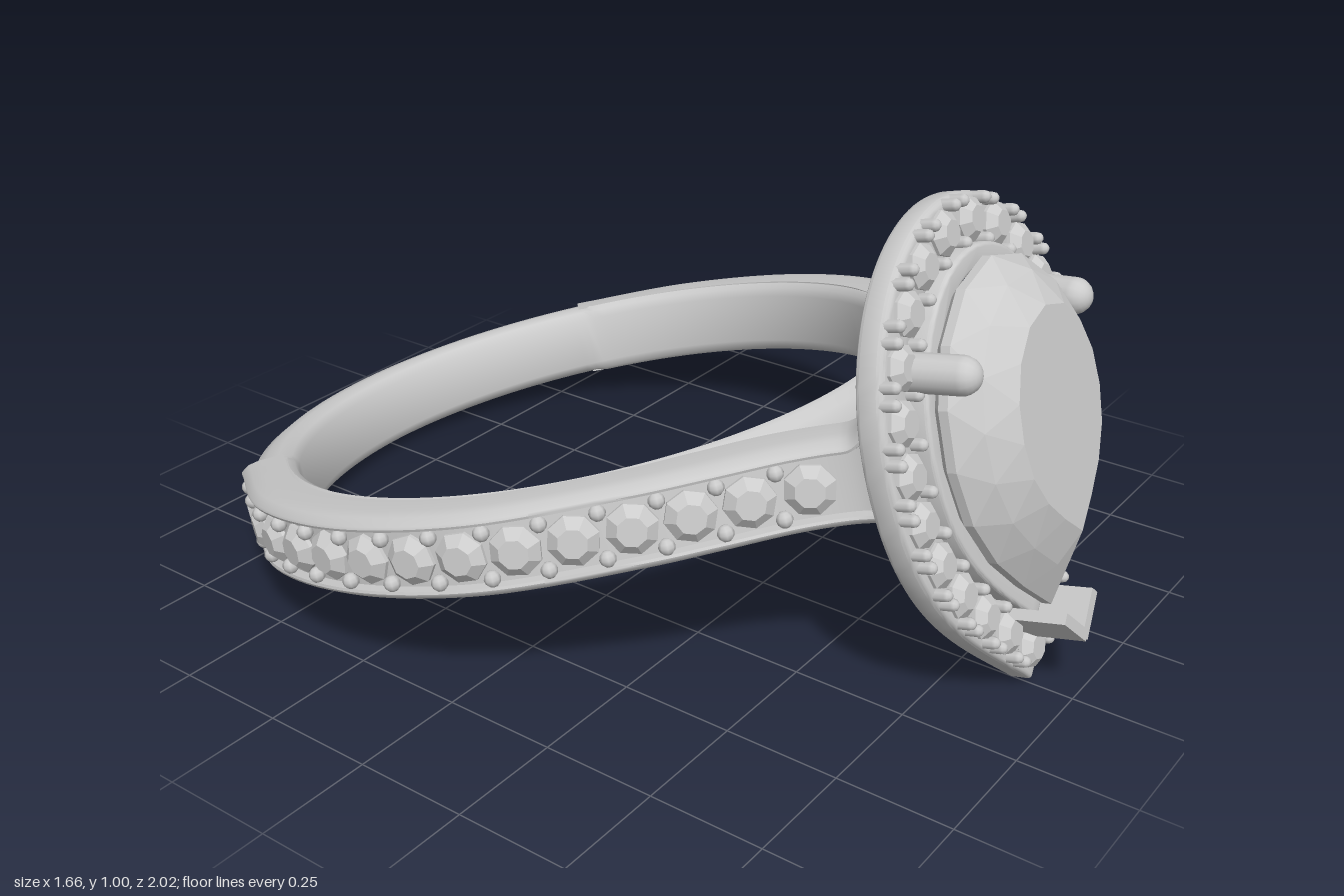
import * as THREE from 'three';
import { toCreasedNormals } from 'three/addons/utils/BufferGeometryUtils.js';
import { ConvexGeometry } from 'three/addons/geometries/ConvexGeometry.js';

const metal = new THREE.MeshStandardMaterial({ color: 0xcccccc });
const facet = new THREE.MeshStandardMaterial({ color: 0xcccccc, flatShading: true });
const V3 = (x, y, z) => new THREE.Vector3(x, y, z);
const UP = V3(0, 1, 0), FRONT = V3(0, 0, 1);
const rad = THREE.MathUtils.degToRad;

// Adds a mesh whose own y axis points along dir
function add(parent, name, geo, mat, pos = V3(0, 0, 0), dir = UP) {
  const mesh = new THREE.Mesh(geo, mat);
  mesh.name = name;
  mesh.position.copy(pos);
  mesh.quaternion.setFromUnitVectors(UP, dir);
  parent.add(mesh);
  return mesh;
}

// Skins a row of cross-sections; either closed on itself or capped at both ends
function loft(sections, closed) {
  const n = sections[0].length, m = sections.length, pts = sections.flat(), idx = [];
  for (let i = 0; i < (closed ? m : m - 1); i++) for (let j = 0; j < n; j++) {
    const k = (j + 1) % n, a = i * n, b = ((i + 1) % m) * n;
    idx.push(a + j, b + j, a + k, a + k, b + j, b + k);
  }
  if (!closed) [0, m - 1].forEach((s, e) => {
    const c = pts.length;
    pts.push(sections[s].reduce((t, p) => t.add(p), V3(0, 0, 0)).divideScalar(n));
    for (let j = 0; j < n; j++) {
      const p = s * n + j, q = s * n + (j + 1) % n;
      idx.push(c, ...(e ? [q, p] : [p, q]));
    }
  });
  // turn the faces outward if the enclosed volume comes out negative
  let vol = 0;
  const cross = V3(0, 0, 0);
  for (let i = 0; i < idx.length; i += 3)
    vol += pts[idx[i]].dot(cross.crossVectors(pts[idx[i + 1]], pts[idx[i + 2]]));
  if (vol < 0) idx.reverse();
  const geo = new THREE.BufferGeometry().setFromPoints(pts);
  geo.setIndex(idx);
  return toCreasedNormals(geo, 0.7);
}

// Pear outline: w half width, t height of the round top, b length of the pointed end
function pear(w, t, b, Type = THREE.Shape) {
  const s = new Type();
  s.moveTo(0, -b);
  s.bezierCurveTo(0.54 * w, -0.71 * b, w, -0.5 * b, w, 0);
  s.absellipse(0, 0, w, t, 0, Math.PI, false);
  s.bezierCurveTo(-w, -0.5 * b, -0.54 * w, -0.71 * b, 0, -b);
  return s;
}
const inset = (d, Type) => pear(0.37 - d, 0.42 - d, 0.601 - 1.4 * d, Type);

// Flat pear-shaped ring with softened edges, from z0 to z1
function pearRing(outer, inner, z0, z1, bevel) {
  const shape = inset(outer + bevel);
  shape.holes.push(inset(inner - bevel, THREE.Path));
  const geo = new THREE.ExtrudeGeometry(shape, {
    depth: z1 - z0 - 2 * bevel, bevelSize: bevel, bevelThickness: bevel, bevelSegments: 3, curveSegments: 28
  });
  geo.translate(0, 0, z0 + bevel);
  return toCreasedNormals(geo, 0.7);
}

// Small round stone: crown over a shallow pavilion
function smallStone(r) {
  return new THREE.LatheGeometry([[0, -0.6], [1, -0.1], [1, 0.05], [0.58, 0.42], [0, 0.42]]
    .map(([x, y]) => new THREE.Vector2(x * r, y * r)), 8);
}

function buildBand() {
  const band = new THREE.Group();
  band.name = 'band';

  // Domed hoop, thinner along the stone-set sides and the front bridge
  const half = [[0.69, 0.06], [0.702, 0.08], [0.73, 0.09], [0.76, 0.086], [0.79, 0.07], [0.81, 0.042]];
  const profile = [...half, [0.82, 0], ...half.slice().reverse().map(([r, y]) => [r, -y])];
  const hoop = [];
  for (let i = 0; i < 180; i++) {
    const a = rad(i * 2), k = Math.sin(a) < Math.sin(rad(-41)) ? 1 : 0.5;
    hoop.push(profile.map(([r, y]) => {
      const q = 0.69 + (r - 0.69) * k;
      return V3(q * Math.cos(a), y, q * Math.sin(a));
    }));
  }
  add(band, 'hoop', loft(hoop, true), metal);

  // Grooved shoulders that leave the hoop and run forward to the head
  const arc = r => [-43, -22, 0, 22, 45].map(a => V3(r * Math.cos(rad(a)), 0, r * Math.sin(rad(a))));
  const ext = list => list.map(([x, z]) => V3(x, 0, z));
  const outer = new THREE.CatmullRomCurve3([...arc(0.82), ...ext([[0.485, 0.69], [0.38, 0.81], [0.33, 0.9], [0.32, 0.965]])]);
  const inner = new THREE.CatmullRomCurve3([...arc(0.72), ...ext([[0.42, 0.6], [0.31, 0.715], [0.235, 0.85], [0.22, 0.965]])]);
  const groove = [[0, -1], [0.55, -1], [0.8, -0.95], [0.98, -0.82], [1, -0.76], [0.98, -0.7], [0.8, -0.66],
    [0.8, 0.66], [0.98, 0.7], [1, 0.76], [0.98, 0.82], [0.8, 0.95], [0.55, 1], [0, 1]];
  const stoneGeo = smallStone(0.053), beadGeo = new THREE.SphereGeometry(0.017, 8, 6);
  const length = outer.getLength(), pitch = 0.114;

  for (const side of [1, -1]) {
    const shoulder = new THREE.Group();
    shoulder.name = side > 0 ? 'leftShoulder' : 'rightShoulder';
    band.add(shoulder);
    const sections = [];
    for (let i = 0; i <= 64; i++) {
      const u = i / 64, o = outer.getPoint(u), p = inner.getPoint(u);
      const flare = 1 + 0.6 * THREE.MathUtils.smoothstep(u, 0.86, 1);
      sections.push(groove.map(([t, y]) => {
        const v = p.clone().lerp(o, t);
        return V3(v.x * side, 0.09 * y * (y > 0 ? flare : 1), v.z);
      }));
    }
    add(shoulder, 'shoulderRail', loft(sections, false), metal);

    // Stones in the groove with a pair of beads between neighbours
    const at = (dist, lift, y) => {
      const u = dist / length, p = outer.getPointAt(u), t = outer.getTangentAt(u);
      const n = V3(t.z, 0, -t.x);
      p.addScaledVector(n, lift);
      return [V3(p.x * side, y, p.z), V3(n.x * side, 0, n.z)];
    };
    for (let d = 0.1; d < length - 0.08; d += pitch) {
      const [pos, dir] = at(d, -0.014, 0);
      add(shoulder, 'shoulderStone', stoneGeo, facet, pos, dir);
      for (const y of [-0.047, 0.047])
        add(shoulder, 'shoulderBead', beadGeo, metal, at(d - pitch / 2, -0.007, y)[0]);
    }
  }
  return band;
}

function buildHead() {
  const head = new THREE.Group();
  head.name = 'head';
  add(head, 'haloPlate', pearRing(0, 0.108, 0.825, 0.885, 0.012), metal);
  add(head, 'stoneSeat', pearRing(0.1, 0.145, 0.805, 0.92, 0.008), metal);

  // Halo stones, with claws on both edges between them
  const count = 23, ring = inset(0.055).getSpacedPoints(count * 2);
  const stoneGeo = smallStone(0.046);
  const clawGeo = new THREE.CapsuleGeometry(0.013, 0.035, 3, 8);
  for (let i = 0; i < count * 2; i++) {
    const p = ring[i];
    if (i % 2 === 0) {
      add(head, 'haloStone', stoneGeo, facet, V3(p.x, p.y, 0.893), FRONT);
      continue;
    }
    const t = ring[(i + 1) % (count * 2)].clone().sub(ring[i - 1]).normalize();
    for (const [out, along] of [[0.041, 0.016], [0.041, -0.016], [-0.038, 0]])
      add(head, 'haloClaw', clawGeo, metal,
        V3(p.x + t.y * out + t.x * along, p.y - t.x * out + t.y * along, 0.887), FRONT);
  }

  // Faceted pear-cut centre stone: table, crown break, girdle and culet
  const level = (w, t, b, z, odd) => pear(w, t, b).getSpacedPoints(32)
    .filter((p, i) => i < 32 && i % 2 === odd).map(p => V3(p.x, p.y, z));
  const gem = new ConvexGeometry([
    ...level(0.165, 0.2, 0.26, 1.05, 0),
    ...level(0.222, 0.262, 0.35, 1.006, 1),
    ...level(0.26, 0.3, 0.425, 0.955, 0),
    ...level(0.26, 0.3, 0.425, 0.935, 0),
    ...level(0.16, 0.18, 0.25, 0.83, 1),
    V3(0, -0.02, 0.7)
  ]);
  add(head, 'centreStone', gem, facet);

  // Two rounded prongs at the sides and a V-shaped one around the point
  const prongGeo = new THREE.CapsuleGeometry(0.038, 0.13, 6, 14);
  for (const side of [1, -1]) {
    add(head, 'prong', prongGeo, metal, V3(side * 0.242, 0.15, 0.925), V3(-side * 0.12, -0.1, 1).normalize());
    const plate = add(head, 'pointProng', new THREE.BoxGeometry(0.1, 0.024, 0.15), metal,
      V3(side * 0.031, -0.455, 0.945));
    plate.rotation.z = side * rad(45);
  }
  return head;
}

export function createModel() {
  const model = new THREE.Group();
  model.name = 'ring';
  // The whole ring leans back, resting on the rear of the band and the point of the head
  const lean = new THREE.Group();
  lean.name = 'leaningRing';
  lean.rotation.x = rad(-15);
  const band = buildBand(), head = buildHead();
  band.position.set(0, 0.336, -0.125);
  head.position.set(0, 0.378, 0);
  lean.add(band, head);
  model.add(lean);
  return model;
}
